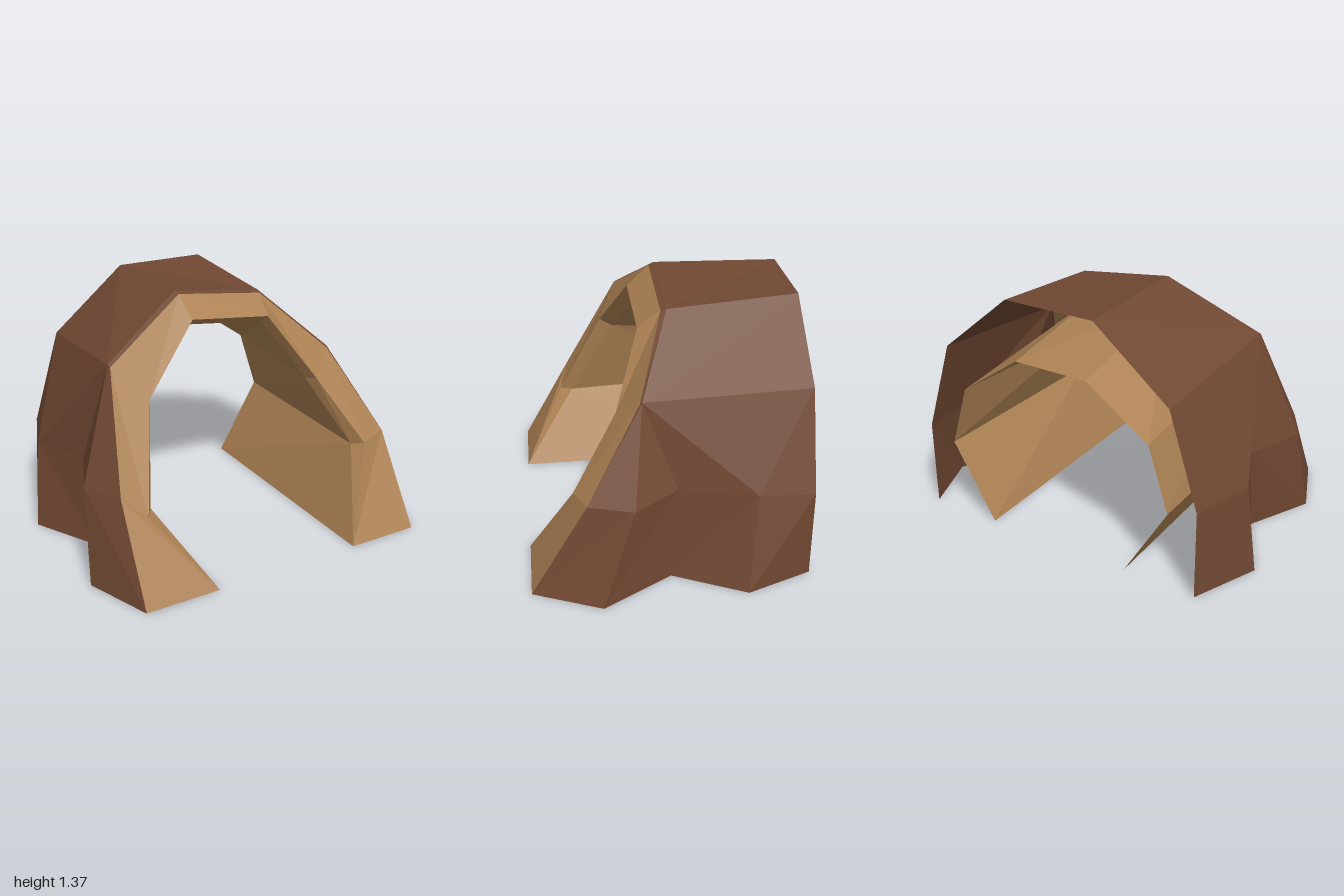
import * as THREE from 'three';

const bark = new THREE.MeshStandardMaterial({ color: 0x704832, flatShading: true, side: THREE.DoubleSide });
bark.name = 'bark brown';
const wood = new THREE.MeshStandardMaterial({ color: 0xac8153, flatShading: true, side: THREE.DoubleSide });
wood.name = 'cut wood tan';

// Faceted skin over stations[i][j]; diagonals are mirrored on the two halves of the arch
function loft(name, stations, material) {
  const pos = [];
  const tri = (...pts) => {
    const [a, b, c] = pts.map((p) => new THREE.Vector3(...p));
    const area = b.clone().sub(a).cross(c.clone().sub(a)).length();
    if (area > 1e-6) pts.forEach((p) => pos.push(...p));
  };
  for (let i = 0; i < stations.length - 1; i++) {
    for (let j = 0; j < stations[i].length - 1; j++) {
      const a = stations[i][j], b = stations[i + 1][j];
      const c = stations[i + 1][j + 1], d = stations[i][j + 1];
      if (i < stations.length / 2 - 1) { tri(a, b, c); tri(a, c, d); }
      else { tri(a, b, d); tri(b, c, d); }
    }
  }
  const geo = new THREE.BufferGeometry();
  geo.setAttribute('position', new THREE.Float32BufferAttribute(pos, 3));
  geo.computeVertexNormals();
  const mesh = new THREE.Mesh(geo, material);
  mesh.name = name;
  return mesh;
}

export function createModel() {
  const group = new THREE.Group();
  group.name = 'hollowLogArch';

  // Arch curves, each running from the -x foot over the top to the +x foot
  const cutOuter = [
    [-0.84, 0, 0.73], [-0.83, 0.5, 0.45], [-0.725, 1.08, 0.145], [-0.25, 1.355, -0.01],
    [0.255, 1.29, -0.01], [0.62, 0.95, 0.14], [0.825, 0.5, 0.43], [0.84, 0, 0.73],
  ];
  const cutInner = [
    [-0.425, 0, 0.73], [-0.705, 0.385, 0.5], [-0.56, 0.91, 0.25], [-0.235, 1.245, 0.115],
    [0.235, 1.19, 0.11], [0.475, 0.83, 0.25], [0.655, 0.48, 0.49], [0.425, 0, 0.73],
  ];
  const bevel = [
    [-0.425, 0, 0.73], [-0.66, 0.395, 0.43], [-0.55, 0.87, 0.18], [-0.225, 1.2, 0.05],
    [0.23, 1.145, 0.05], [0.45, 0.81, 0.18], [0.615, 0.455, 0.42], [0.425, 0, 0.73],
  ];
  const half = [[0.425, 0], [0.68, 0.43], [0.57, 0.78], [0.215, 1.03]];
  const hollowBack = [
    ...half.map(([x, y]) => [-x, y, -0.73]),
    ...half.slice().reverse().map(([x, y]) => [x, y, -0.73]),
  ];

  // Bark stations, front to back: lip, rim, front bulge, valley, back bulge, back edge
  const upper = (lip, rim, back) => [lip, rim, rim, rim, rim, back];
  const barkGrid = [
    [cutOuter[0], cutOuter[0], [-0.98, 0, 0.36], [-0.8, 0, 0], [-1, 0, -0.37], [-0.84, 0, -0.73]],
    [cutOuter[1], cutOuter[1], [-0.94, 0.5, 0.24], [-0.81, 0.5, -0.08], [-0.95, 0.5, -0.4], [-0.84, 0.49, -0.73]],
    upper(cutOuter[2], [-0.73, 1.09, 0.125], [-0.68, 1.005, -0.73]),
    upper(cutOuter[3], [-0.26, 1.367, -0.04], [-0.26, 1.352, -0.73]),
    upper(cutOuter[4], [0.26, 1.3, -0.04], [0.26, 1.352, -0.73]),
    upper(cutOuter[5], [0.625, 0.96, 0.13], [0.67, 1.01, -0.73]),
    [cutOuter[6], cutOuter[6], [0.9, 0.5, 0.195], [0.74, 0.51, -0.04], [0.84, 0.505, -0.44], [0.84, 0.49, -0.73]],
    [cutOuter[7], cutOuter[7], [1, 0, 0.37], [0.78, 0, 0], [0.97, 0, -0.38], [0.84, 0, -0.73]],
  ];

  const between = (a, b) => a.map((p, i) => [p, b[i]]);
  group.add(
    loft('barkShell', barkGrid, bark),
    loft('cutFace', between(cutInner, cutOuter), wood),
    loft('innerBevel', between(bevel, cutInner), wood),
    loft('hollowWall', between(hollowBack, bevel), wood),
  );
  return group;
}
